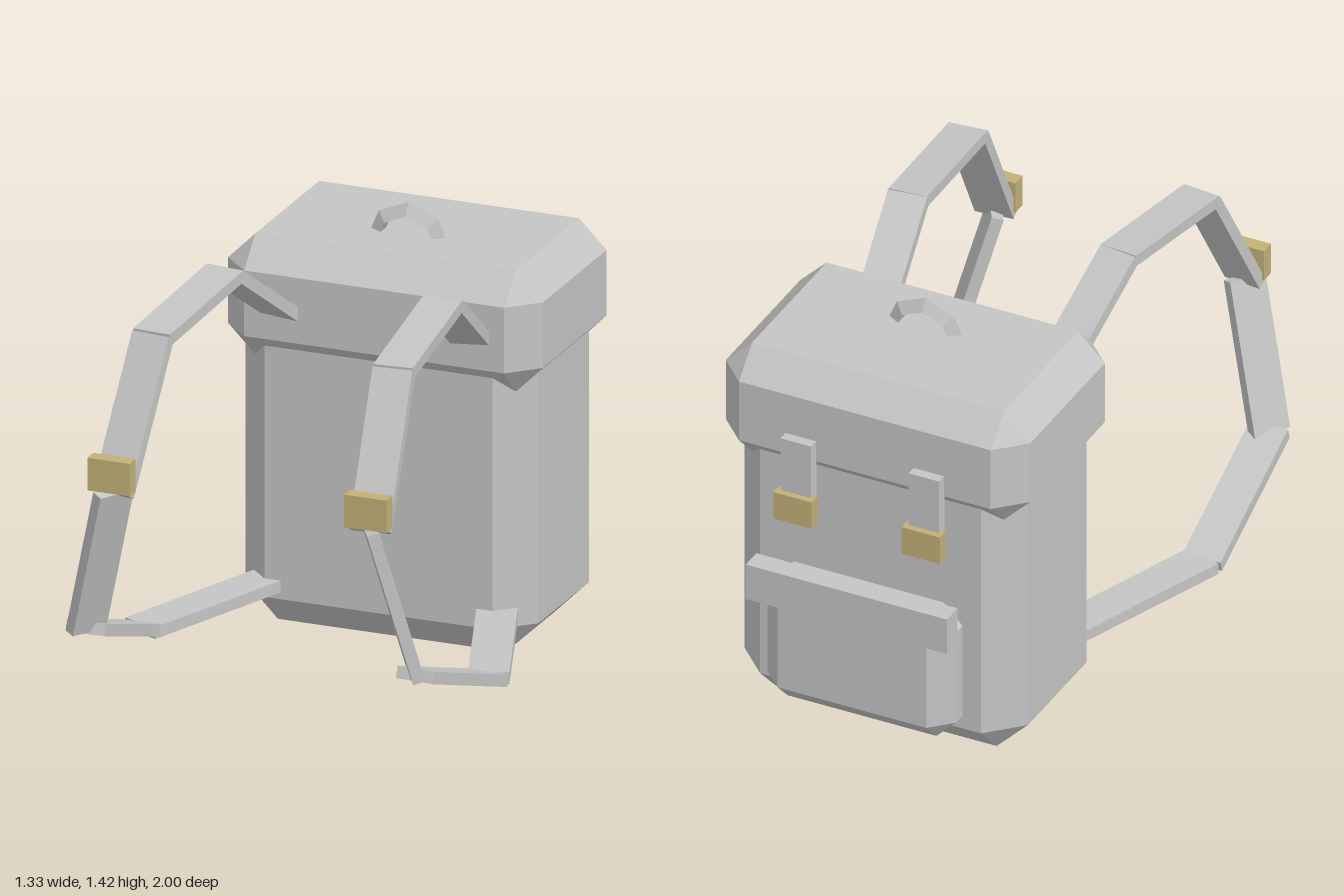
import * as THREE from 'three';
import { ConvexGeometry } from 'three/addons/geometries/ConvexGeometry.js';

export function createModel() {
  const model = new THREE.Group();
  model.name = 'backpack';
  const fabric = new THREE.MeshStandardMaterial({ name: 'greyFabric', color: 0xc4c4c4 });
  const brass = new THREE.MeshStandardMaterial({ name: 'brass', color: 0xc2b077 });

  function add(name, geometry, material, x, y, z) {
    const mesh = new THREE.Mesh(geometry, material);
    mesh.name = name;
    mesh.position.set(x, y, z);
    model.add(mesh);
    return mesh;
  }

  // Box given by its y and z limits, centred on x
  function box(name, material, x, w, y0, y1, z0, z1) {
    return add(name, new THREE.BoxGeometry(w, y1 - y0, z1 - z0), material,
      x, (y0 + y1) / 2, (z0 + z1) / 2);
  }

  // Box with every edge cut at 45 degrees by c
  function chamferBox(name, w, y0, y1, z0, z1, c) {
    const a = w / 2, b = (y1 - y0) / 2, d = (z1 - z0) / 2;
    const points = [];
    for (const i of [-1, 1]) for (const j of [-1, 1]) for (const k of [-1, 1]) {
      points.push(
        new THREE.Vector3(i * a, j * (b - c), k * (d - c)),
        new THREE.Vector3(i * (a - c), j * b, k * (d - c)),
        new THREE.Vector3(i * (a - c), j * (b - c), k * d));
    }
    return add(name, new ConvexGeometry(points), fabric, 0, (y0 + y1) / 2, (z0 + z1) / 2);
  }

  // Bag
  chamferBox('body', 1.01, 0, 1.18, -0.83, -0.193, 0.112);
  chamferBox('lid', 1.084, 0.905, 1.315, -0.87, -0.157, 0.094);
  chamferBox('pocket', 0.67, 0.1, 0.58, -0.96, -0.775, 0.07);
  box('pocketFlap', fabric, 0, 0.716, 0.5, 0.63, -1, -0.925);

  // Carry handle: half ring with a triangular section
  const ring = new THREE.TorusGeometry(0.117, 0.028, 3, 4, Math.PI).toNonIndexed();
  ring.computeVertexNormals();
  add('handle', ring, fabric, 0, 1.275, -0.44);

  // Centre line of one shoulder strap, from lid round to the lower body
  const path = [
    [0.318, 1.055, -0.23], [0.375, 1.335, 0.18], [0.415, 1.283, 0.675],
    [0.443, 0.838, 0.932], [0.568, 0.338, 0.857], [0.598, 0.155, 0.33],
    [0.368, 0.155, -0.3],
  ];

  for (const side of [-1, 1]) {
    const label = side > 0 ? 'left' : 'right';
    const points = path.map(([x, y, z]) => new THREE.Vector3(side * x, y, z));
    for (let i = 0; i < points.length - 1; i++) {
      const p = points[i], q = points[i + 1];
      const m = p.clone().add(q).multiplyScalar(0.5);
      const geometry = new THREE.BoxGeometry(0.132, 0.04, p.distanceTo(q) + 0.01);
      add(label + 'ShoulderStrap' + (i + 1), geometry, fabric, m.x, m.y, m.z).lookAt(q);
    }
    box(label + 'ShoulderBuckle', brass, side * 0.442, 0.146, 0.85, 0.96, 0.925, 0.975);

    // Lid closure on the back
    box(label + 'LidStrap', fabric, side * 0.228, 0.108, 0.81, 1.075, -0.905, -0.866);
    box(label + 'LidBuckle', brass, side * 0.228, 0.136, 0.78, 0.88, -0.927, -0.882);
  }
  return model;
}
